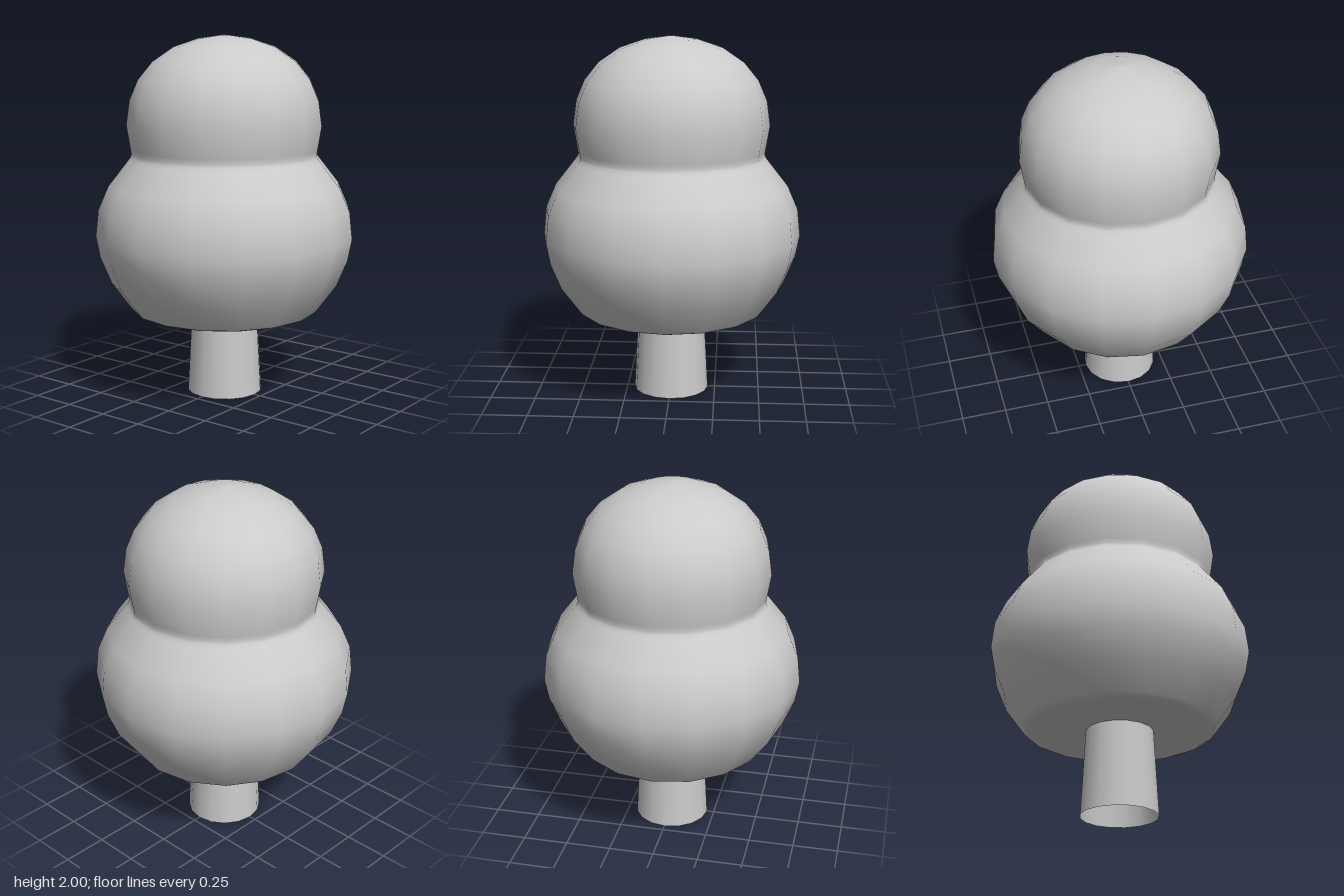
import * as THREE from 'three';

const SIDES = 16;

// Revolves [radius, height] pairs, listed from bottom to top, around the y axis
function turned(name, profile, material) {
  const points = profile.map(([r, y]) => new THREE.Vector2(r, y));
  const mesh = new THREE.Mesh(new THREE.LatheGeometry(points, SIDES), material);
  mesh.name = name;
  return mesh;
}

export function createModel() {
  const tree = new THREE.Group();
  tree.name = 'tree';
  const grey = new THREE.MeshStandardMaterial({ color: 0xcccccc });
  const greyOpen = new THREE.MeshStandardMaterial({ color: 0xcccccc, side: THREE.DoubleSide });

  // Tapered trunk, open at the foot
  tree.add(turned('trunk', [[0.21, 0], [0.185, 0.47]], greyOpen));

  // Foliage: flat underside with a small bevel, wide lower ball, tight neck, upper ball
  tree.add(turned('foliage', [
    [0, 0.47], [0.48, 0.47], [0.497, 0.47], [0.518, 0.478], [0.53, 0.492],
    [0.635, 0.635], [0.695, 0.78], [0.718, 0.9], [0.702, 1.05], [0.645, 1.18],
    [0.535, 1.32], [0.522, 1.338], [0.516, 1.355], [0.52, 1.38],
    [0.542, 1.515], [0.523, 1.65], [0.476, 1.76], [0.397, 1.857],
    [0.28, 1.937], [0.143, 1.983], [0.015, 2], [0, 2],
  ], grey));

  return tree;
}
